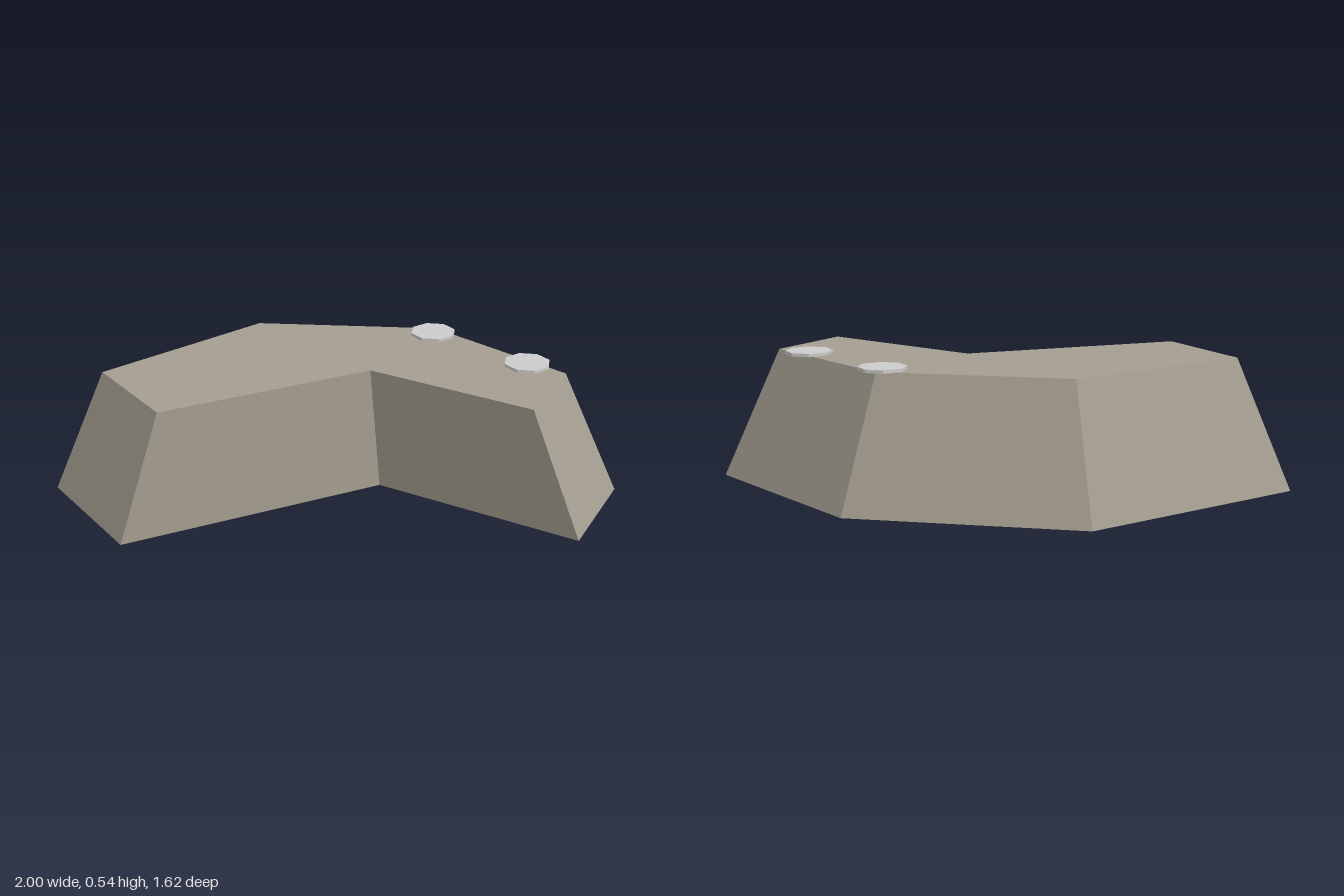
import * as THREE from 'three';

const HEIGHT = 0.524;
const TAPER = 0.8;     // the top outline is a smaller copy of the base
const TOP_SHIFT = 0.016; // its offset along z

// Bent footprint as [x, z] corners
const FOOTPRINT = [
  [-1, 0.568], [-0.478, 0.805], [0.113, -0.146], [1, -0.146],
  [0.95, -0.62], [0.118, -0.81], [-0.713, -0.384],
];

function createBlock() {
  const shape = new THREE.Shape(FOOTPRINT.map(([x, z]) => new THREE.Vector2(x, -z)));
  const geometry = new THREE.ExtrudeGeometry(shape, { depth: HEIGHT, bevelEnabled: false });
  geometry.rotateX(-Math.PI / 2);

  // Draw the upper corners inwards to slope every wall
  const p = geometry.attributes.position;
  for (let i = 0; i < p.count; i++) {
    if (p.getY(i) > HEIGHT / 2) {
      p.setX(i, p.getX(i) * TAPER);
      p.setZ(i, p.getZ(i) * TAPER + TOP_SHIFT);
    }
  }
  geometry.computeVertexNormals();

  const material = new THREE.MeshStandardMaterial({ color: 0xa59e91, flatShading: true });
  const block = new THREE.Mesh(geometry, material);
  block.name = 'bentBlock';
  return block;
}

export function createModel() {
  const model = new THREE.Group();
  model.name = 'bentBlockWithDiscs';
  model.add(createBlock());

  // Thin eight-sided discs resting on the top, overhanging the back edge
  const discGeometry = new THREE.CylinderGeometry(0.094, 0.094, 0.013, 8);
  const discMaterial = new THREE.MeshStandardMaterial({ color: 0xcccccc, flatShading: true });
  [[0.115, -0.573], [0.592, -0.48]].forEach(([x, z], i) => {
    const disc = new THREE.Mesh(discGeometry, discMaterial);
    disc.name = i === 0 ? 'middleDisc' : 'leftDisc';
    disc.position.set(x, HEIGHT + 0.0055, z);
    model.add(disc);
  });

  return model;
}
